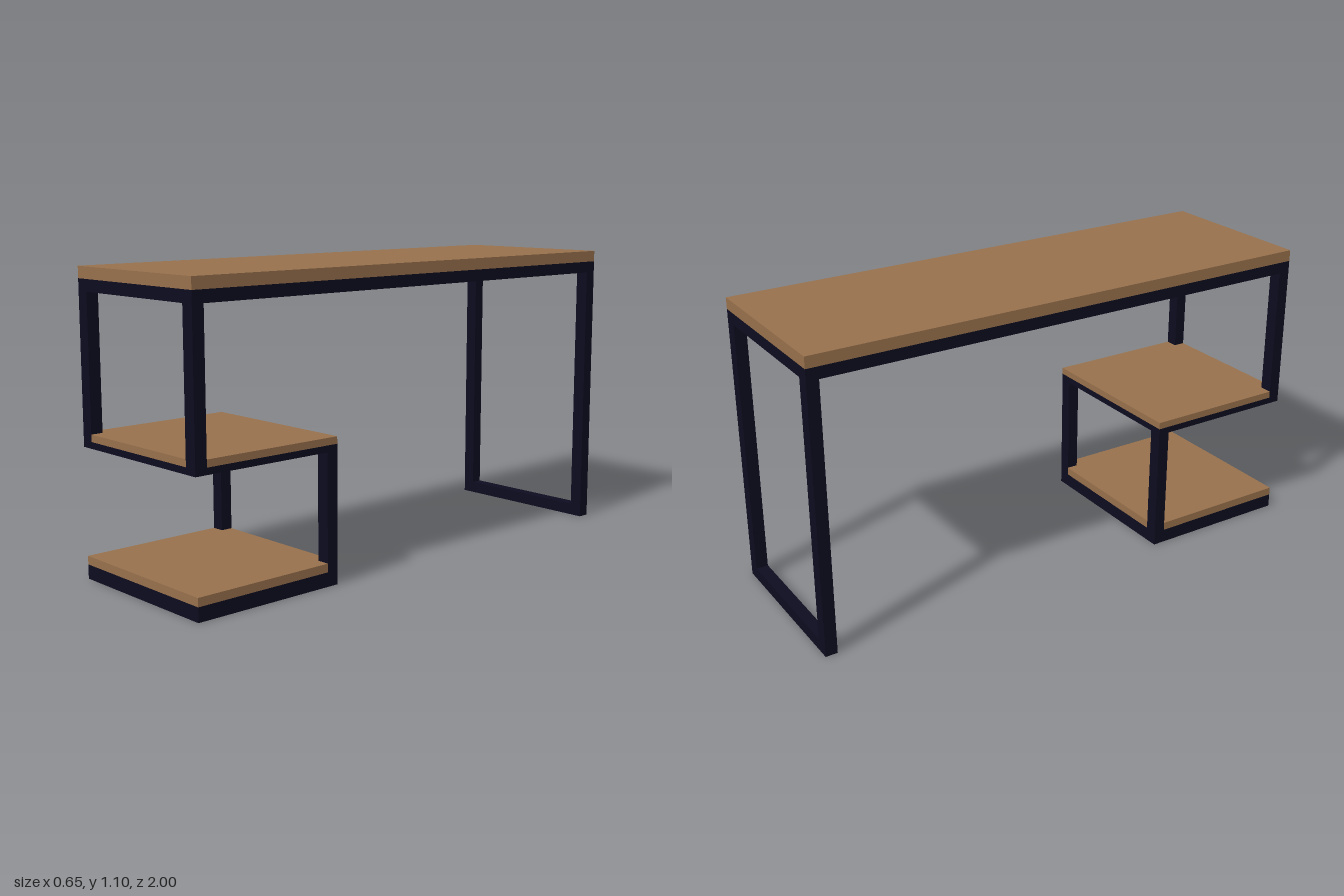
import * as THREE from 'three';

const W = 0.323; // half width
const BX = 0.049; // bar width across x
const BZ = 0.045; // bar depth along z

export function createModel() {
  const model = new THREE.Group();
  model.name = 'desk';
  const wood = new THREE.MeshStandardMaterial({ color: 0x98714c });
  wood.name = 'brown wood';
  const metal = new THREE.MeshStandardMaterial({ color: 0x0c0c20 });
  metal.name = 'dark navy metal';

  // Box given by its extents
  function box(name, material, x0, x1, y0, y1, z0, z1, parent = model) {
    const mesh = new THREE.Mesh(new THREE.BoxGeometry(x1 - x0, y1 - y0, z1 - z0), material);
    mesh.position.set((x0 + x1) / 2, (y0 + y1) / 2, (z0 + z1) / 2);
    mesh.name = name;
    parent.add(mesh);
  }

  // Horizontal rectangular ring of four bars
  function ringFrame(name, y0, y1, z0, z1) {
    const ring = new THREE.Group();
    ring.name = name;
    for (const s of [-1, 1]) {
      const a = s * W, b = s * (W - BX);
      box('sideRail', metal, Math.min(a, b), Math.max(a, b), y0, y1, z0, z1, ring);
    }
    box('backRail', metal, -W + BX, W - BX, y0, y1, z0, z0 + BZ, ring);
    box('frontRail', metal, -W + BX, W - BX, y0, y1, z1 - BZ, z1, ring);
    model.add(ring);
  }

  // Mirrored pair of upright legs
  function legPair(name, y0, y1, z0) {
    box(name + 'Right', metal, -W, -W + BX, y0, y1, z0, z0 + BZ);
    box(name + 'Left', metal, W - BX, W, y0, y1, z0, z0 + BZ);
  }

  // Board notched at two corners so it fits between the legs;
  // zWide is the full-width end, zNotch the end between the legs
  function notchedShelf(name, y0, y1, zWide, zNotch) {
    const zStep = zNotch - Math.sign(zNotch - zWide) * BZ;
    const n = W - BX;
    const shape = new THREE.Shape([
      [-W, zWide], [W, zWide], [W, zStep], [n, zStep],
      [n, zNotch], [-n, zNotch], [-n, zStep], [-W, zStep],
    ].map(([x, z]) => new THREE.Vector2(x, -z)));
    const geometry = new THREE.ExtrudeGeometry(shape, { depth: y1 - y0, bevelEnabled: false });
    geometry.rotateX(-Math.PI / 2);
    const mesh = new THREE.Mesh(geometry, wood);
    mesh.position.y = y0;
    mesh.name = name;
    model.add(mesh);
  }

  // Table top and its frame
  box('tableTop', wood, -W, W, 1.055, 1.097, -1, 1);
  ringFrame('topFrame', 1.012, 1.055, -1, 1);

  // Back leg loop
  legPair('backLeg', 0, 1.012, -1);
  box('backFootRail', metal, -W + BX, W - BX, 0, BZ, -1, -1 + BZ);

  // Stepped shelf support at the front
  legPair('frontLeg', 0.497, 1.012, 1 - BZ);
  ringFrame('middleFrame', 0.473, 0.497, 0.405, 1);
  notchedShelf('middleShelf', 0.497, 0.523, 0.405, 1);
  legPair('shelfLeg', 0.052, 0.473, 0.405);
  ringFrame('bottomFrame', 0, 0.052, 0.405, 1);
  notchedShelf('bottomShelf', 0.052, 0.083, 1, 0.405);

  return model;
}
